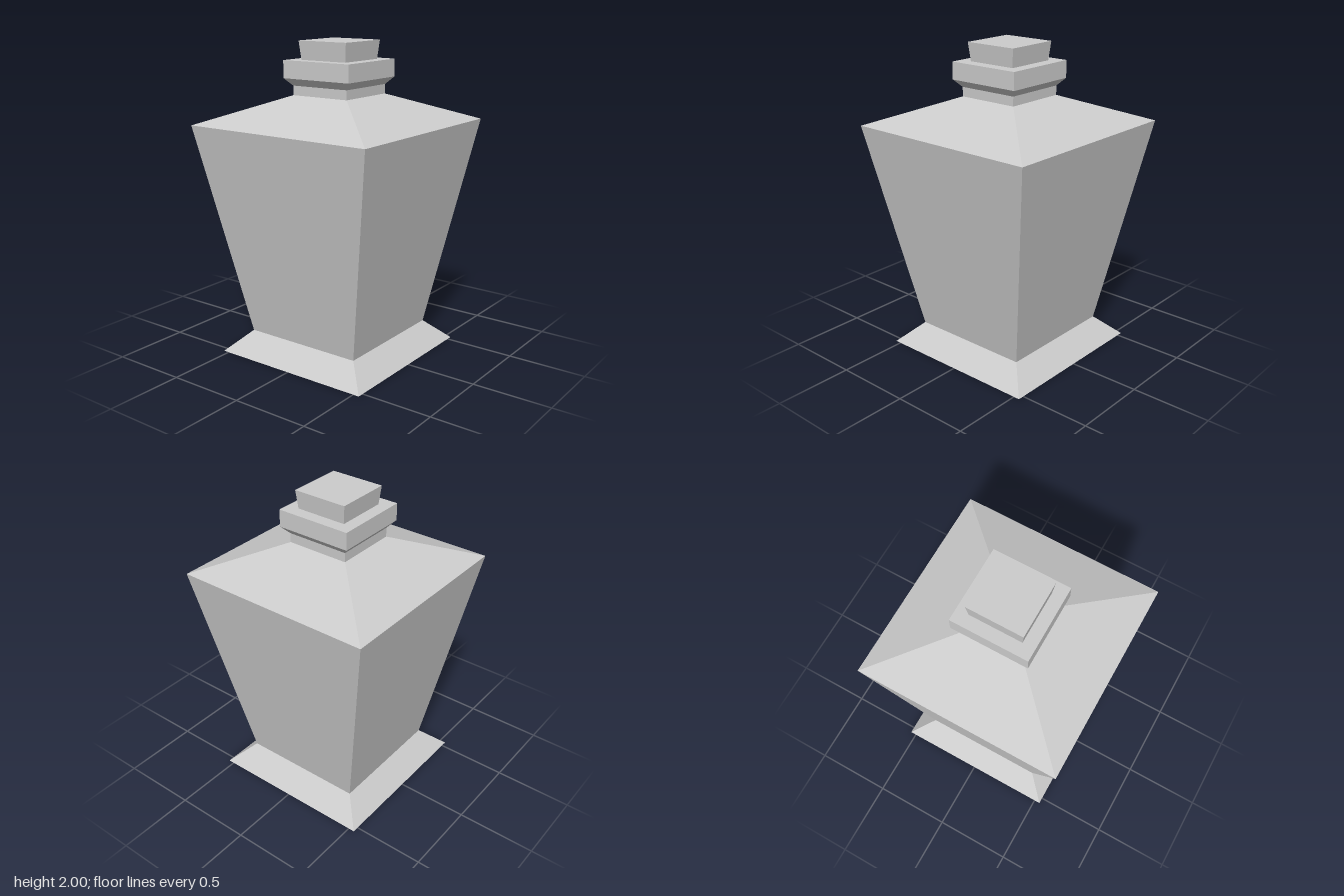
import * as THREE from 'three';

const stone = new THREE.MeshStandardMaterial({ color: 0xcccccc });
stone.name = 'pale grey';

// Square section part: profile is a list of [half width, height] from bottom to top
function squarePart(name, profile) {
  const points = profile.map(([half, y]) => new THREE.Vector2(half * Math.SQRT2, y));
  const geometry = new THREE.LatheGeometry(points, 4, Math.PI / 4).toNonIndexed();
  geometry.computeVertexNormals(); // hard facets
  const mesh = new THREE.Mesh(geometry, stone);
  mesh.name = name;
  return mesh;
}

export function createModel() {
  const group = new THREE.Group();
  group.name = 'squareBottle';
  group.add(
    // splayed foot, closed underneath
    squarePart('foot', [[0, 0], [0.54, 0], [0.4, 0.135]]),
    // body widening upward
    squarePart('body', [[0.4, 0.135], [0.647, 1.495]]),
    // sloping shoulder
    squarePart('shoulder', [[0.647, 1.495], [0.203, 1.668]]),
    // short neck
    squarePart('neck', [[0.203, 1.668], [0.203, 1.727]]),
    // collar with an undercut and flat top
    squarePart('collar', [[0.203, 1.727], [0.245, 1.773], [0.245, 1.883], [0, 1.883]]),
    // stopper flaring slightly upward
    squarePart('stopper', [[0.166, 1.883], [0.178, 2], [0, 2]])
  );
  return group;
}
